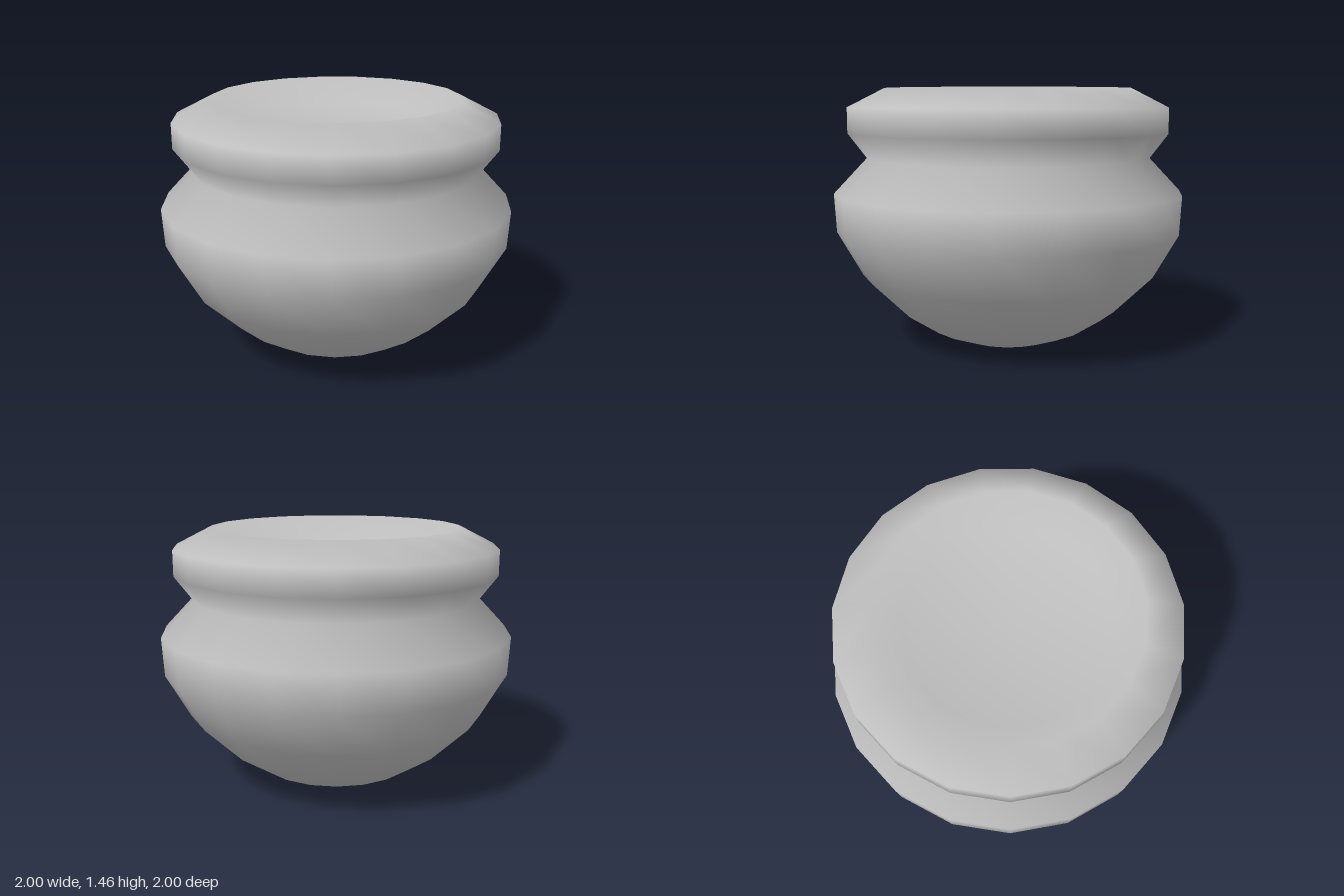
import * as THREE from 'three';

export function createModel() {
  const group = new THREE.Group();
  group.name = 'pot';
  const clay = new THREE.MeshStandardMaterial({ color: 0xc0c0c0 });
  clay.name = 'grey clay';

  const SIDES = 19;
  const START = Math.PI / 2 - 0.015; // one corner points almost along +x

  // Profile of [radius, height] pairs: one continuous wall, so the shading
  // flows from the foot over the rim into the hollow
  const profile = [
    // foot and rounded belly
    [0, 0], [0.277, 0], [0.46, 0.07], [0.635, 0.185], [0.853, 0.4], [0.993, 0.65], [1.005, 0.87],
    // pinched neck
    [0.816, 1.07],
    // thick rolled rim
    [0.921, 1.21], [0.921, 1.355], [0.71, 1.463],
    // shallow hollow with a flat floor
    [0.57, 1.315], [0, 1.315],
  ].map(([r, y]) => new THREE.Vector2(r, y));

  const body = new THREE.Mesh(new THREE.LatheGeometry(profile, SIDES, START), clay);
  body.name = 'potBody';
  body.position.x = -0.008;
  group.add(body);

  return group;
}
